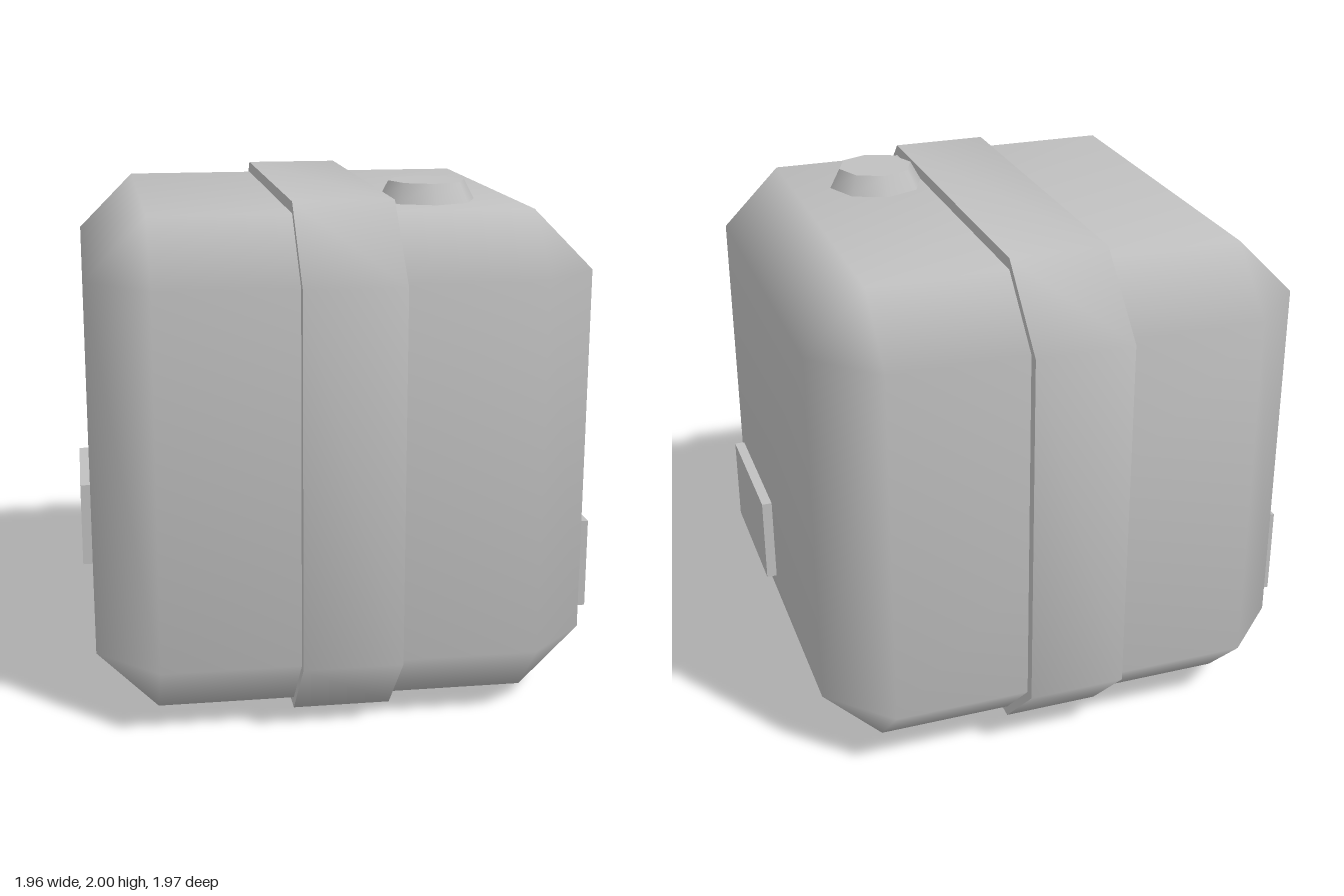
import * as THREE from 'three';
import { ConvexGeometry } from 'three/addons/geometries/ConvexGeometry.js';
import { mergeVertices } from 'three/addons/utils/BufferGeometryUtils.js';

const MID = 0.985;   // height of the tank centre
const HALF = 0.94;   // half size of the tank
const FLAT = 0.71;   // half size of each flat face

// Cube with chamfered edges and triangular corners, softly shaded
function tankGeometry() {
  const points = [];
  for (const x of [-1, 1]) for (const y of [-1, 1]) for (const z of [-1, 1]) {
    points.push(
      new THREE.Vector3(x * HALF, y * FLAT, z * FLAT),
      new THREE.Vector3(x * FLAT, y * HALF, z * FLAT),
      new THREE.Vector3(x * FLAT, y * FLAT, z * HALF));
  }
  const hull = new ConvexGeometry(points);
  hull.deleteAttribute('normal');
  const geometry = mergeVertices(hull, 1e-4);
  geometry.computeVertexNormals();
  return geometry;
}

// Octagonal band around the x axis: soft rim, sharp sides
function bandGeometry(halfWidth, r) {
  // [y, z] profile, turning from +y towards +z
  const profile = [[r, -FLAT], [r, FLAT], [FLAT, r], [-FLAT, r],
    [-r, FLAT], [-r, -FLAT], [-FLAT, -r], [FLAT, -r]];
  const positions = [], index = [], n = profile.length;
  for (let copy = 0; copy < 2; copy++) {   // first copy for the rim, second for the sides
    for (const x of [-halfWidth, halfWidth]) {
      for (const [y, z] of profile) positions.push(x, y, z);
    }
  }
  for (let i = 0; i < n; i++) {
    const j = (i + 1) % n;
    index.push(i, j, n + j, i, n + j, n + i);
  }
  for (let i = 1; i < n - 1; i++) {
    index.push(2 * n, 2 * n + i + 1, 2 * n + i);
    index.push(3 * n, 3 * n + i, 3 * n + i + 1);
  }
  const geometry = new THREE.BufferGeometry();
  geometry.setAttribute('position', new THREE.Float32BufferAttribute(positions, 3));
  geometry.setIndex(index);
  geometry.computeVertexNormals();
  return geometry;
}

export function createModel() {
  const group = new THREE.Group();
  const grey = new THREE.MeshStandardMaterial({ color: 0xc0c0c0 });
  grey.name = 'grey';

  const add = (name, geometry, x, y, z) => {
    const mesh = new THREE.Mesh(geometry, grey);
    mesh.name = name;
    mesh.position.set(x, y, z);
    group.add(mesh);
  };

  add('tank', tankGeometry(), 0, MID, 0);
  add('band', bandGeometry(0.1875, 0.983), 0, MID, 0);

  // Tapered eight-sided filler cap on top
  add('fillerCap', new THREE.CylinderGeometry(0.148, 0.188, 0.075, 8), 0.375, 1.9625, 0.375);

  // Raised plates on opposite sides, turned half way round from each other
  for (const s of [1, -1]) {
    add(s > 0 ? 'leftPlate' : 'rightPlate',
      new THREE.BoxGeometry(0.08, 0.35, 0.58), s * 0.94, 0.52, s * 0.38);
  }
  return group;
}
